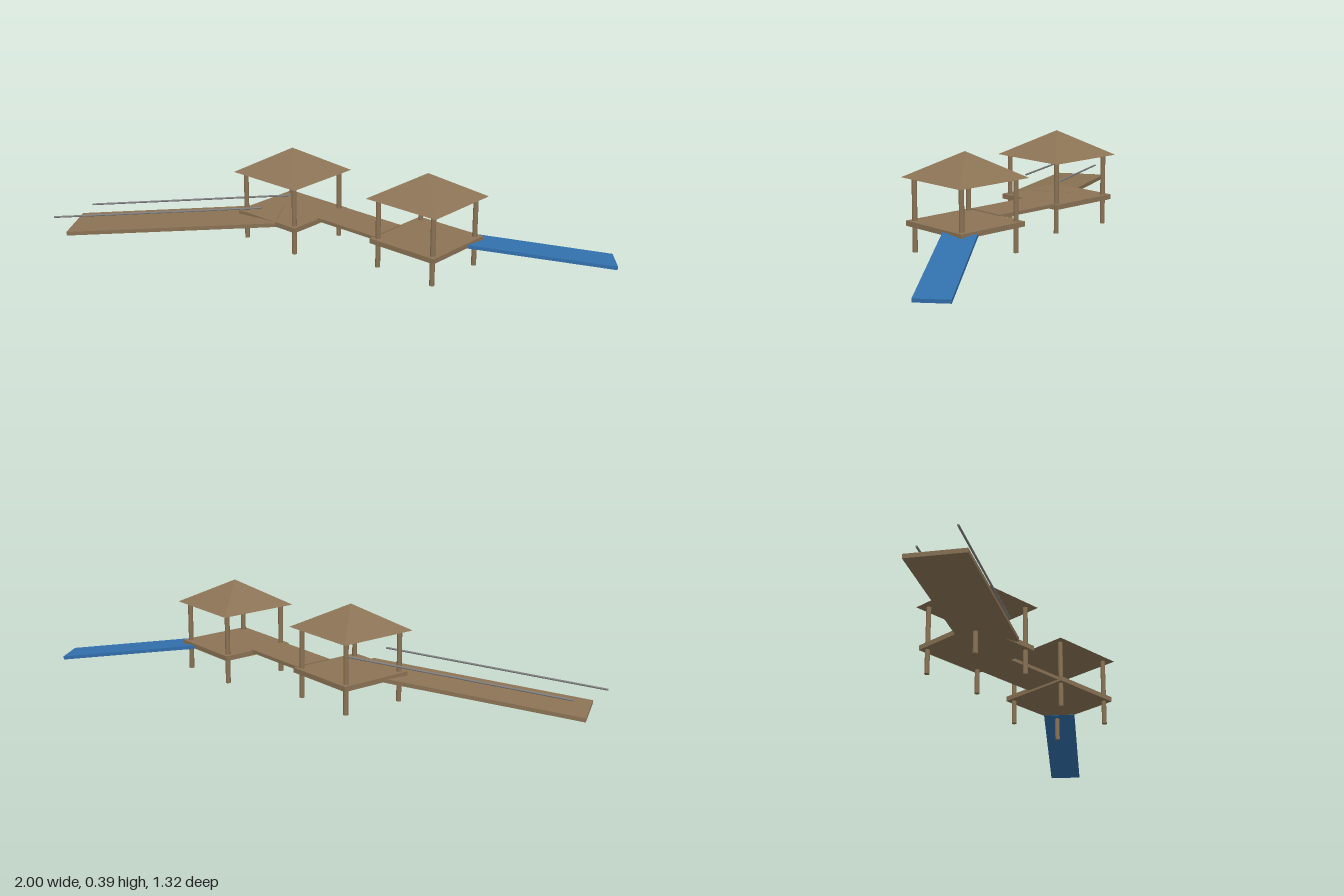
import * as THREE from 'three';

const wood = new THREE.MeshStandardMaterial({ color: 0x8b7355 });
wood.name = 'brown wood';
const blue = new THREE.MeshStandardMaterial({ color: 0x3270ad });
blue.name = 'blue plastic';
const metal = new THREE.MeshStandardMaterial({ color: 0x808080 });
metal.name = 'grey metal';

function part(name, geometry, material, x = 0, y = 0, z = 0) {
  const mesh = new THREE.Mesh(geometry, material);
  mesh.name = name;
  mesh.position.set(x, y, z);
  return mesh;
}

// Sloping plank whose centre line runs between two points
function plank(name, from, to, width, thickness, material) {
  const a = new THREE.Vector3(...from);
  const b = new THREE.Vector3(...to);
  const mesh = part(name, new THREE.BoxGeometry(width, thickness, a.distanceTo(b)), material);
  mesh.position.copy(a).lerp(b, 0.5);
  mesh.lookAt(b);
  return mesh;
}

// Round bar between two points
function bar(name, from, to, radius, material) {
  const path = new THREE.LineCurve3(new THREE.Vector3(...from), new THREE.Vector3(...to));
  const length = path.getLength();
  const mesh = part(name, new THREE.CylinderGeometry(radius, radius, length, 8), material);
  mesh.position.copy(path.getPoint(0.5));
  mesh.quaternion.setFromUnitVectors(new THREE.Vector3(0, 1, 0), path.getTangent(0));
  return mesh;
}

// Square deck on four posts under a pyramid roof
function tower(name, x, z) {
  const group = new THREE.Group();
  group.name = name;
  group.position.set(x, 0, z);
  group.add(part('deck', new THREE.BoxGeometry(0.315, 0.02, 0.315), wood, 0, 0.111, 0));
  for (const sx of [-1, 1]) {
    for (const sz of [-1, 1]) {
      const post = new THREE.CylinderGeometry(0.01, 0.01, 0.29, 12);
      group.add(part('post', post, wood, sx * 0.134, 0.145, sz * 0.134));
    }
  }
  const roof = new THREE.ConeGeometry(0.169 * Math.SQRT2, 0.1, 4)
    .rotateY(Math.PI / 4)
    .toNonIndexed();
  roof.computeVertexNormals();
  group.add(part('roof', roof, wood, 0, 0.336, 0));
  return group;
}

export function createModel() {
  const model = new THREE.Group();
  model.name = 'playground';

  model.add(tower('rampTower', -0.212, -0.009));
  model.add(tower('slideTower', 0.39, -0.13));

  // Bridge between the decks
  model.add(part('bridge', new THREE.BoxGeometry(0.3, 0.014, 0.165), wood, 0.09, 0.118, -0.074));

  // Entry ramp with a handrail on each side
  model.add(plank('ramp', [-0.94, 0.0255, 0.553], [-0.21, 0.114, 0.068], 0.22, 0.016, wood));
  for (const side of [-0.1, 0.1]) {
    model.add(bar('handrail', [-0.938, 0.088, 0.558 + side], [-0.214, 0.176, 0.074 + side], 0.004, metal));
  }

  // Slide
  model.add(plank('slide', [0.953, 0.024, -0.61], [0.505, 0.107, -0.235], 0.131, 0.014, blue));

  return model;
}
